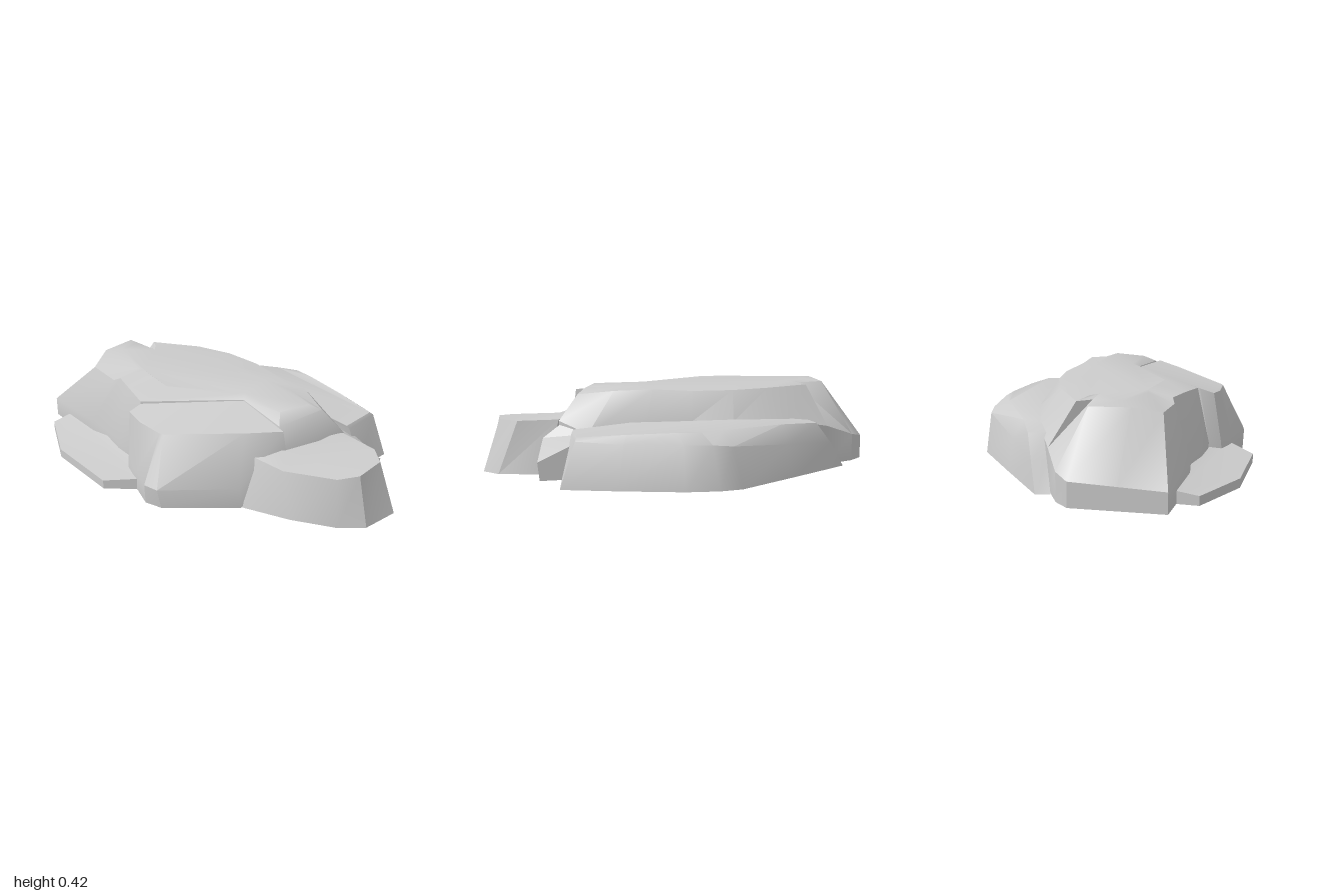
import * as THREE from 'three';
import { toCreasedNormals } from 'three/addons/utils/BufferGeometryUtils.js';

const material = new THREE.MeshStandardMaterial({ color: 0xcccccc, side: THREE.DoubleSide });

// Each column lists one outline corner from bottom to top as [x, y, z] points.
// The columns are skinned into a hollow shell, closed on top and open below.
function rockShell(name, cols, crease = 0.6) {
  const n = cols.length, levels = cols[0].length;
  const outline = cols.map(c => new THREE.Vector2(c[levels - 1][0], -c[levels - 1][2]));
  if (THREE.ShapeUtils.area(outline) < 0) { cols.reverse(); outline.reverse(); }
  const index = [];
  for (let i = 0; i < n; i++) {
    for (let k = 0; k < levels - 1; k++) {
      const a = i * levels + k, b = ((i + 1) % n) * levels + k;
      index.push(a, b, b + 1, a, b + 1, a + 1);
    }
  }
  for (const tri of THREE.ShapeUtils.triangulateShape(outline, [])) {
    index.push(...tri.map(i => i * levels + levels - 1));
  }
  const geometry = new THREE.BufferGeometry();
  geometry.setAttribute('position', new THREE.Float32BufferAttribute(cols.flat(2), 3));
  geometry.setIndex(index);
  const mesh = new THREE.Mesh(toCreasedNormals(geometry, crease), material);
  mesh.name = name;
  return mesh;
}

// Adds a foot below a wall point (short where another rock covers the wall)
// and a crown point above, drawn in towards the middle of the plateau
const boulderColumn = ([wall, rim]) => [
  [wall[0], wall[1] > 0.2 ? 0.2 : 0, wall[2]],
  wall,
  rim,
  [rim[0] * 0.6, THREE.MathUtils.lerp(rim[1], 0.418, 0.75), rim[2] * 0.9],
];

// Short upright wall that ends above the ground
const innerWall = ([x, y, z]) => [[x, 0.2, z], [x, y - 0.03, z], [x, y, z]];

export function createModel() {
  const group = new THREE.Group();
  group.name = 'rockOutcrop';

  // Main boulder: gently crowned plateau, long slope at the back, cracks on both sides
  group.add(rockShell('mainBoulder', [
    [[-0.31, 0.10, -1.0], [-0.27, 0.37, -0.70]],
    [[-0.09, 0.11, -0.98], [-0.13, 0.405, -0.76]],
    [[0.13, 0.12, -0.96], [0.06, 0.405, -0.76]],
    [[0.19, 0.14, -0.89], [0.06, 0.40, -0.61]],
    [[0.25, 0.20, -0.73], [0.13, 0.40, -0.65]],
    [[0.33, 0.25, -0.5], [0.24, 0.405, -0.41]],
    [[0.38, 0.265, -0.2], [0.28, 0.405, -0.22]],
    [[0.34, 0.265, 0.0], [0.27, 0.405, -0.02]],
    [[0.30, 0.25, 0.22], [0.21, 0.41, 0.17]],
    [[0.27, 0.21, 0.5], [0.19, 0.405, 0.36]],
    [[0.16, 0.26, 0.63], [0.10, 0.38, 0.53]],
    [[-0.18, 0.27, 0.52], [-0.16, 0.37, 0.47]],
    [[-0.12, 0.27, 0.2], [-0.09, 0.395, 0.19]],
    [[-0.47, 0.10, -0.22], [-0.41, 0.375, -0.21]],
    [[-0.44, 0.10, -0.36], [-0.35, 0.385, -0.36]],
    [[-0.39, 0.10, -0.5], [-0.30, 0.385, -0.47]],
    [[-0.39, 0.12, -0.61], [-0.31, 0.365, -0.51]],
  ].map(boulderColumn)));

  // Tilted slab split off the right flank
  group.add(rockShell('rightFlankSlab', [
    [[-0.48, 0, -0.21], [-0.46, 0.15, -0.205], [-0.42, 0.37, -0.20]],
    [[-0.10, 0.2, 0.2], [-0.10, 0.25, 0.2], [-0.09, 0.39, 0.19]],
    [[-0.17, 0.18, 0.53], [-0.17, 0.22, 0.53], [-0.18, 0.365, 0.51]],
    [[-0.38, 0, 0.42], [-0.38, 0.10, 0.41], [-0.30, 0.355, 0.37]],
    [[-0.63, 0, 0.13], [-0.645, 0.10, 0.12], [-0.53, 0.335, 0.06]],
    [[-0.645, 0, 0.04], [-0.65, 0.10, 0.04], [-0.535, 0.335, 0.04]],
    [[-0.59, 0, -0.07], [-0.585, 0.10, -0.08], [-0.52, 0.34, -0.11]],
    [[-0.54, 0, -0.19], [-0.53, 0.10, -0.19], [-0.49, 0.35, -0.21]],
  ], 0.5));

  // Rounded block at the front
  group.add(rockShell('frontBlock', [
    [[-0.38, 0, 0.40], [-0.30, 0.25, 0.40]],
    [[-0.31, 0, 0.66], [-0.28, 0.225, 0.59]],
    [[-0.22, 0, 0.87], [-0.20, 0.24, 0.84]],
    [[-0.13, 0, 0.97], [-0.12, 0.25, 0.91]],
    [[0.06, 0, 1.0], [0.04, 0.258, 0.915]],
    [[0.135, 0, 0.93], [0.12, 0.26, 0.83]],
    [[0.19, 0, 0.70], [0.15, 0.265, 0.63]],
    [[0.10, 0.2, 0.56], [0.08, 0.27, 0.58]],
    [[-0.18, 0.2, 0.48], [-0.18, 0.275, 0.50]],
  ]));

  // Small wedge between the front block and the left ridge
  group.add(rockShell('frontWedge', [
    [[0.19, 0, 0.69], [0.17, 0.18, 0.71]],
    [[0.32, 0, 0.74], [0.32, 0.09, 0.75]],
    [[0.32, 0, 0.60], [0.32, 0.17, 0.58]],
    [[0.27, 0.12, 0.50], [0.27, 0.21, 0.50]],
    [[0.16, 0.15, 0.55], [0.16, 0.26, 0.60]],
  ], 0.3));

  // Long low ridge along the left side, open towards the boulder
  group.add(rockShell('leftRidge', [
    [[0.23, 0, -0.79], [0.26, 0.13, -0.70], [0.27, 0.24, -0.62]],
    [[0.30, 0, -0.80], [0.33, 0.13, -0.72], [0.36, 0.24, -0.63]],
    [[0.49, 0, -0.48], [0.47, 0.16, -0.45], [0.42, 0.25, -0.43]],
    [[0.67, 0, -0.17], [0.65, 0.20, -0.13], [0.56, 0.26, -0.10]],
    [[0.685, 0, -0.06], [0.655, 0.21, -0.03], [0.60, 0.26, 0.01]],
    [[0.67, 0, 0.10], [0.63, 0.21, 0.10], [0.58, 0.26, 0.12]],
    [[0.59, 0, 0.40], [0.56, 0.21, 0.37], [0.53, 0.25, 0.35]],
    [[0.51, 0, 0.66], [0.49, 0.22, 0.585], [0.47, 0.235, 0.575]],
    [[0.32, 0, 0.635], [0.28, 0.22, 0.58], [0.27, 0.235, 0.57]],
    ...[[0.28, 0.26, 0.3], [0.32, 0.27, 0], [0.36, 0.275, -0.2], [0.31, 0.26, -0.5]].map(innerWall),
  ], 0.7));

  // Thin ledge on the ground at the back right
  group.add(rockShell('lowLedge', [
    [-0.34, 0.06, -0.86], [-0.44, 0.045, -0.875], [-0.62, 0.045, -0.61], [-0.69, 0.045, -0.21],
    [-0.58, 0.06, -0.07], [-0.42, 0.08, -0.25], [-0.36, 0.075, -0.6],
  ].map(([x, y, z]) => [[x, 0, z], [x, y, z]]), 0.4));

  return group;
}
